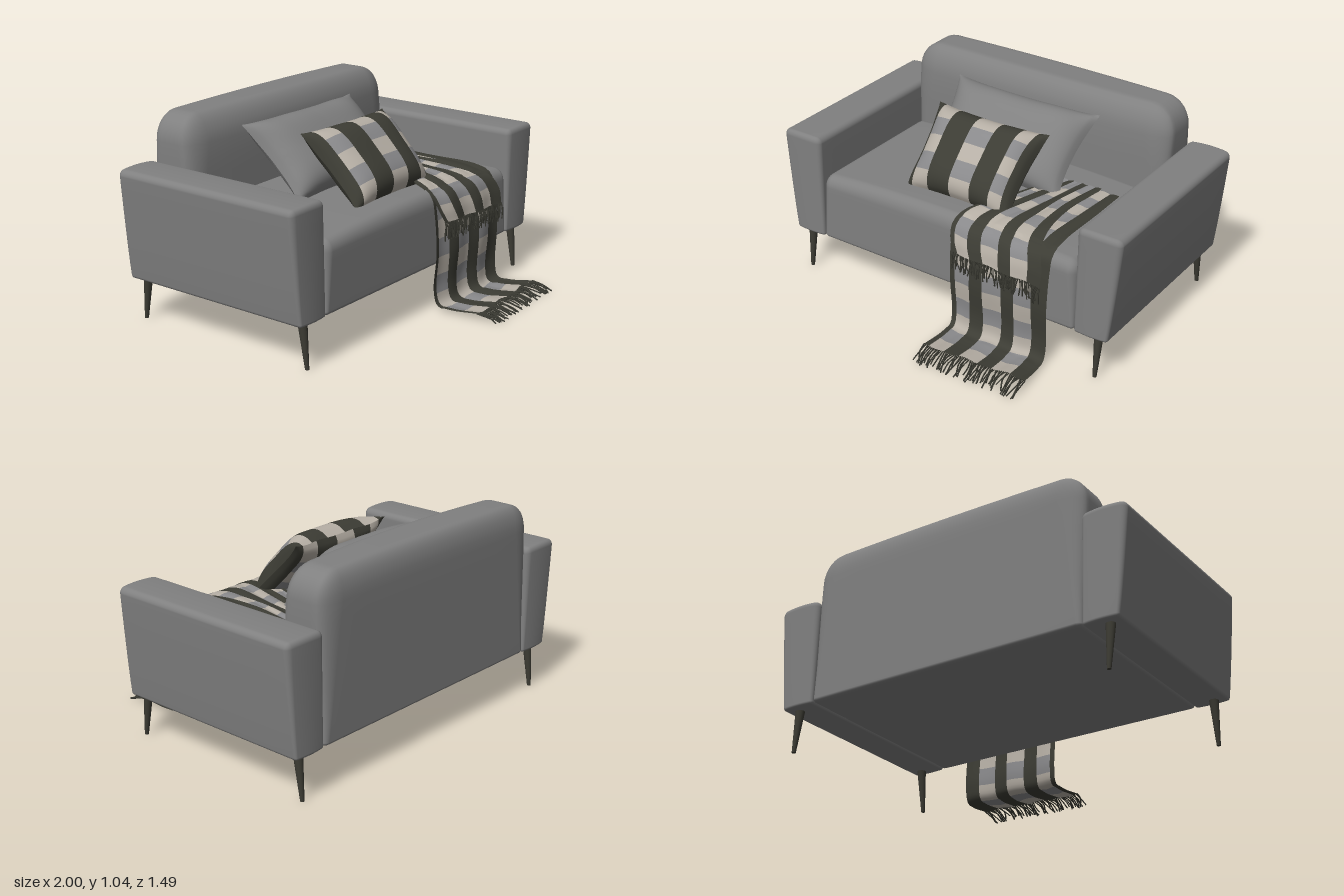
import * as THREE from 'three';
import { mergeVertices, mergeGeometries } from 'three/addons/utils/BufferGeometryUtils.js';

const mat = (name, color, side = THREE.FrontSide) => {
  const m = new THREE.MeshStandardMaterial({ color, side });
  m.name = name;
  return m;
};
const { lerp, clamp } = THREE.MathUtils;

let seed = 7;
const rand = () => (seed = (seed * 16807) % 2147483647) / 2147483647;

// Cushioned box from min to max, with separate [x, y, z] edge radii at top and bottom
function softBox(min, max, top, bottom, deform) {
  const geo = new THREE.BoxGeometry(2, 2, 2, 16, 16, 16);
  geo.deleteAttribute('normal');
  geo.deleteAttribute('uv');
  const pos = geo.attributes.position;
  const p = new THREE.Vector3();
  for (let i = 0; i < pos.count; i++) {
    const t = [pos.getX(i), pos.getY(i), pos.getZ(i)];
    const blend = clamp(t[1] + 0.5, 0, 1);
    const r = top.map((v, k) => lerp(bottom[k], v, blend));
    const n = new THREE.Vector3(...t.map(v => Math.sign(v) * Math.max(0, Math.abs(v) - 0.5) * 2));
    if (n.lengthSq() > 0) n.normalize();
    const out = t.map((v, k) => {
      const a = min[k] + (k === 1 ? bottom[1] : r[k]);
      const b = max[k] - (k === 1 ? top[1] : r[k]);
      return lerp(a, b, clamp(v, -0.5, 0.5) + 0.5) + n.getComponent(k) * r[k];
    });
    p.set(...out);
    if (deform) deform(p);
    pos.setXYZ(i, p.x, p.y, p.z);
  }
  const merged = mergeVertices(geo, 1e-5);
  merged.computeVertexNormals();
  return merged;
}

// Grid surface whose cells are grouped by colour index
function patch(nu, nv, point, colour = () => 0) {
  const pts = [], cells = [[], [], []];
  for (let j = 0; j <= nv; j++)
    for (let i = 0; i <= nu; i++) pts.push(point(i / nu, j / nv));
  for (let j = 0; j < nv; j++)
    for (let i = 0; i < nu; i++) {
      const a = j * (nu + 1) + i, c = a + nu + 1;
      cells[colour((i + 0.5) / nu, (j + 0.5) / nv)].push(a, a + 1, c, a + 1, c + 1, c);
    }
  const geo = new THREE.BufferGeometry().setFromPoints(pts);
  geo.setIndex(cells.flat());
  let start = 0;
  cells.forEach((c, k) => { geo.addGroup(start, c.length, k); start += c.length; });
  geo.computeVertexNormals();
  return geo;
}

// Dark stripes between columns that alternate light and mid grey
const plaid = (edges, rows) => (u, v) => {
  const column = edges.filter(e => u > e).length;
  return column % 2 === 0 ? 0 : 1 + (Math.floor(v * rows) % 2);
};

export function createModel() {
  const model = new THREE.Group();
  const grey = mat('greyUpholstery', 0x808080);
  const legMat = mat('darkLeg', 0x3c3b33);
  const dark = mat('darkWool', 0x3c3c34, THREE.DoubleSide);
  const light = mat('lightWool', 0xb6afa5, THREE.DoubleSide);
  const mid = mat('midWool', 0x89898b, THREE.DoubleSide);
  const wool = [dark, light, mid];
  const add = (name, geo, material, parent = model) => {
    const m = new THREE.Mesh(geo, material);
    m.name = name;
    parent.add(m);
    return m;
  };

  // Seat with a crowned top
  add('seat', softBox([-0.762, 0.225, -0.5], [0.762, 0.585, 0.347], [0.05, 0.06, 0.06], [0.02, 0.02, 0.02], p => {
    if (p.y > 0.5) p.y += 0.03 * (1 - (p.x / 0.762) ** 2) * (p.y - 0.5) / 0.085;
  }), grey);

  // Backrest, bowed forward and rounded along its top
  add('backrest', softBox([-0.775, 0.225, -0.742], [0.775, 1.03, -0.48], [0.13, 0.14, 0.06], [0.03, 0.02, 0.03], p => {
    const bow = 1 - (p.x / 0.775) ** 2;
    const h = clamp((p.y - 0.8) / 0.23, 0, 1);
    if (p.z > -0.6) p.z += 0.03 * bow + 0.005 - 0.03 * h * h;
    if (p.y > 0.9) p.y += 0.01 * bow;
    p.x *= lerp(0.985, 1, clamp((p.y - 0.4) / 0.4, 0, 1));
  }), grey);

  // Arms taper on the outside towards the floor; legs splay to front and back
  for (const s of [1, -1]) {
    const side = s > 0 ? 'left' : 'right';
    const x = [s * 0.765, s * 1.0].sort((a, b) => a - b);
    add(side + 'Arm', softBox([x[0], 0.225, -0.738], [x[1], 0.787, 0.347], [0.03, 0.03, 0.025], [0.015, 0.015, 0.015], p => {
      const across = s * p.x - 0.765;
      const h = clamp((p.y - 0.225) / 0.53, 0, 1) ** 0.85;
      const bow = 1 - ((across - 0.1175) / 0.1175) ** 2;
      if (Math.abs(p.z + 0.195) > 0.45) p.z += Math.sign(p.z + 0.195) * 0.008 * bow;
      if (p.y > 0.7) p.y += 0.006 * bow;
      p.x = s * (0.765 + across * lerp(0.77, 1, h));
    }), grey);
    for (const [end, zTop, zBottom] of [['Front', 0.3, 0.326], ['Back', -0.685, -0.712]]) {
      const geo = new THREE.CylinderGeometry(0.024, 0.01, 0.24, 16);
      const pos = geo.attributes.position;
      for (let i = 0; i < pos.count; i++)
        pos.setZ(i, pos.getZ(i) + lerp(zBottom, zTop, pos.getY(i) / 0.24 + 0.5));
      geo.translate(s * 0.88, 0.12, 0);
      geo.computeVertexNormals();
      add(side + end + 'Leg', geo, legMat);
    }
  }

  // Pillows: two bulging faces meeting at a pinched seam
  function pillow(name, w, h, thick, centre, colour, material) {
    const group = new THREE.Group();
    group.name = name;
    for (const s of [1, -1]) {
      const geo = patch(56, 40, (a, b) => {
        const u = s * (2 * a - 1), v = 2 * b - 1;
        const puff = Math.max(0, (1 - u ** 4) * (1 - v ** 4)) ** 0.65;
        const crease = 0.006 * Math.sin(u * 9 + v * 4) * Math.abs(u * v);
        return new THREE.Vector3(
          w / 2 * u * (1 - 0.07 * (1 - v * v) * u * u) * (1 + 0.035 * v),
          h / 2 * v * (1 - 0.07 * (1 - u * u) * v * v),
          s * (s > 0 ? thick : thick * 0.7) * puff + crease);
      }, colour);
      add(name + (s > 0 ? 'Front' : 'Back'), geo, material, group);
    }
    group.position.set(...centre);
    group.rotation.x = -Math.PI / 4;
    model.add(group);
  }
  pillow('greyPillow', 0.83, 0.48, 0.115, [-0.02, 0.77, -0.27], undefined, [grey, grey, grey]);
  pillow('plaidPillow', 0.64, 0.47, 0.11, [-0.027, 0.757, 0.025],
    plaid([0.08, 0.24, 0.45, 0.64, 0.82, 0.93], 5), wool);

  // Blanket layers: cloth stretched between two edge curves, ending in a fringe
  function blanket(name, left, right, rows, fringe) {
    const curve = pts => new THREE.CatmullRomCurve3(pts.map(p => new THREE.Vector3(...p)));
    const L = curve(left), R = curve(right);
    const at = (u, v) => {
      const p = L.getPointAt(v).lerp(R.getPointAt(v), u);
      const wave = 0.006 * Math.sin(u * 15 + v * 5);
      p.y += Math.abs(wave) * (p.z < 0.3 || p.z > 0.42 ? 1 : 0.2);
      if (p.z > 0.33) p.z += wave;
      return p;
    };
    add(name, patch(64, 90, (u, v) => at(u, 1 - v),
      plaid([0.05, 0.21, 0.34, 0.53, 0.67, 0.85], rows)), wool);
    const strands = [];
    for (let i = 0; i <= 60; i++) {
      const root = at(i / 60, 1);
      const tip = root.clone().add(new THREE.Vector3(...fringe).multiplyScalar(0.75 + 0.4 * rand()));
      tip.x += (rand() - 0.5) * 0.05;
      tip.y = Math.max(tip.y, 0.005);
      const bend = root.clone().lerp(tip, 0.5);
      bend.x += (rand() - 0.5) * 0.02;
      bend.y += 0.012 * rand();
      bend.z += 0.008 * rand();
      strands.push(new THREE.TubeGeometry(new THREE.CatmullRomCurve3([root, bend, tip]), 4, 0.0038, 4));
    }
    add(name + 'Fringe', mergeGeometries(strands), dark);
  }
  blanket('lowerBlanket',
    [[0.3, 0.62, -0.27], [0.2, 0.622, 0], [0.1, 0.62, 0.24], [0.075, 0.585, 0.335], [0.07, 0.5, 0.36],
      [0.07, 0.3, 0.378], [0.07, 0.1, 0.368], [0.075, 0.025, 0.39], [0.08, 0.014, 0.47], [0.085, 0.03, 0.62]],
    [[0.63, 0.618, -0.28], [0.63, 0.618, 0], [0.63, 0.612, 0.24], [0.63, 0.58, 0.335], [0.63, 0.5, 0.36],
      [0.63, 0.3, 0.378], [0.63, 0.1, 0.368], [0.63, 0.025, 0.385], [0.64, 0.014, 0.45], [0.655, 0.03, 0.58]],
    15, [0.01, -0.03, 0.11]);
  blanket('upperBlanket',
    [[0.3, 0.632, -0.26], [0.19, 0.636, 0.05], [0.09, 0.63, 0.26], [0.07, 0.59, 0.352], [0.08, 0.52, 0.39], [0.11, 0.46, 0.405]],
    [[0.53, 0.632, -0.275], [0.51, 0.634, 0], [0.54, 0.626, 0.25], [0.58, 0.59, 0.352], [0.61, 0.52, 0.39], [0.61, 0.44, 0.405]],
    8, [0, -0.085, 0.005]);

  return model;
}
